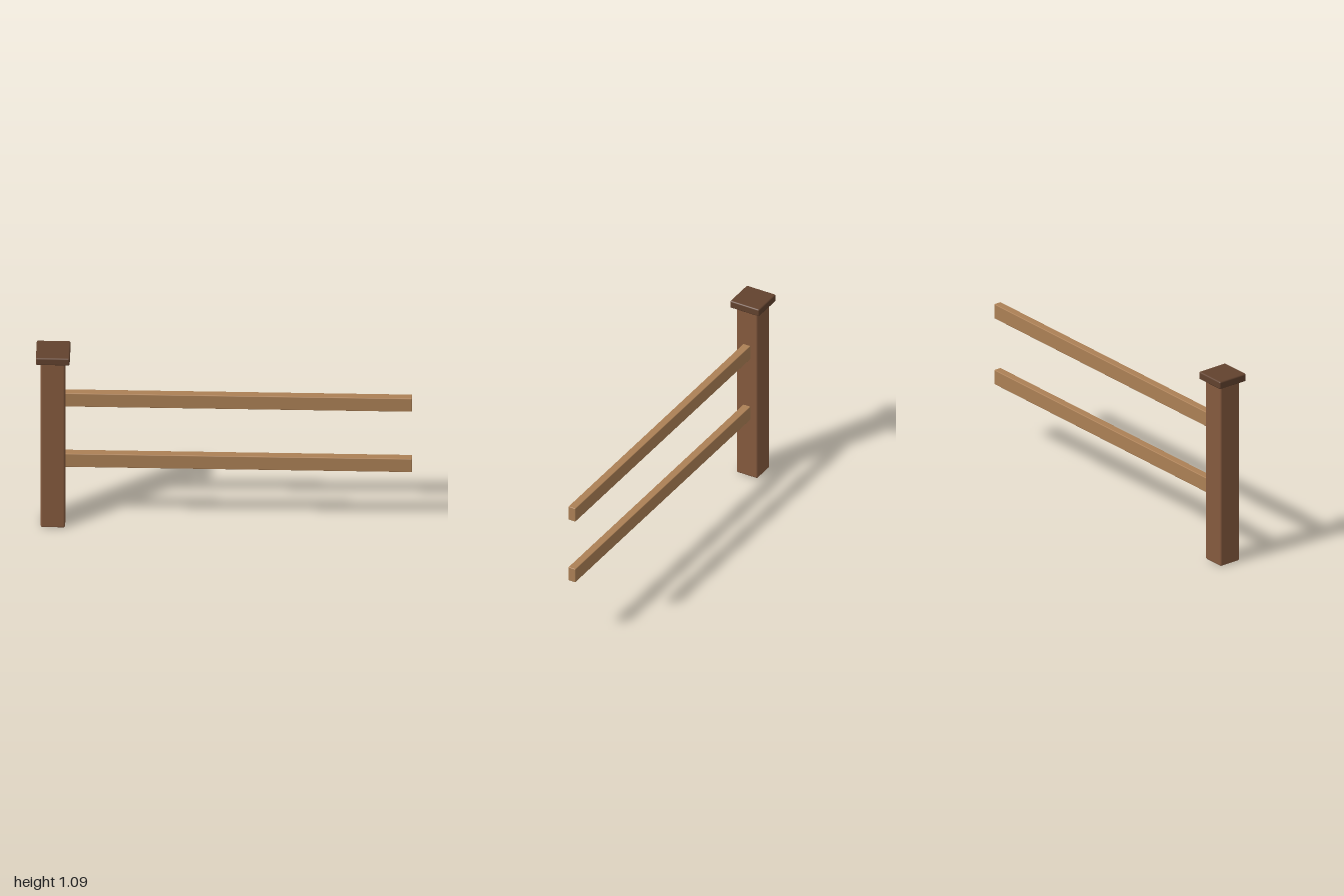
import * as THREE from 'three';
import { RoundedBoxGeometry } from 'three/addons/geometries/RoundedBoxGeometry.js';

export function createModel() {
  const group = new THREE.Group();
  const postWood = new THREE.MeshStandardMaterial({ color: 0x855a3e });
  const capWood = new THREE.MeshStandardMaterial({ color: 0x62422e });
  const railWood = new THREE.MeshStandardMaterial({ color: 0xac8055 });

  // Softly rounded timber, centred on x and z = 0, with its underside at y
  function timber(name, material, [w, h, d], x, y, radius) {
    const mesh = new THREE.Mesh(new RoundedBoxGeometry(w, h, d, 3, radius), material);
    mesh.name = name;
    mesh.position.set(x, y + h / 2, 0);
    group.add(mesh);
  }

  // Square post with an overhanging cap
  const postX = -0.91;
  timber('post', postWood, [0.13, 1.05, 0.13], postX, 0, 0.01);
  timber('postCap', capWood, [0.18, 0.044, 0.18], postX, 1.048, 0.008);

  // Two rails running from inside the post to the open end
  const railStart = postX, railEnd = 1;
  const rails = { lowerRail: 0.36, upperRail: 0.744 };
  for (const [name, y] of Object.entries(rails)) {
    timber(name, railWood, [railEnd - railStart, 0.084, 0.044], (railStart + railEnd) / 2, y, 0.004);
  }
  return group;
}
